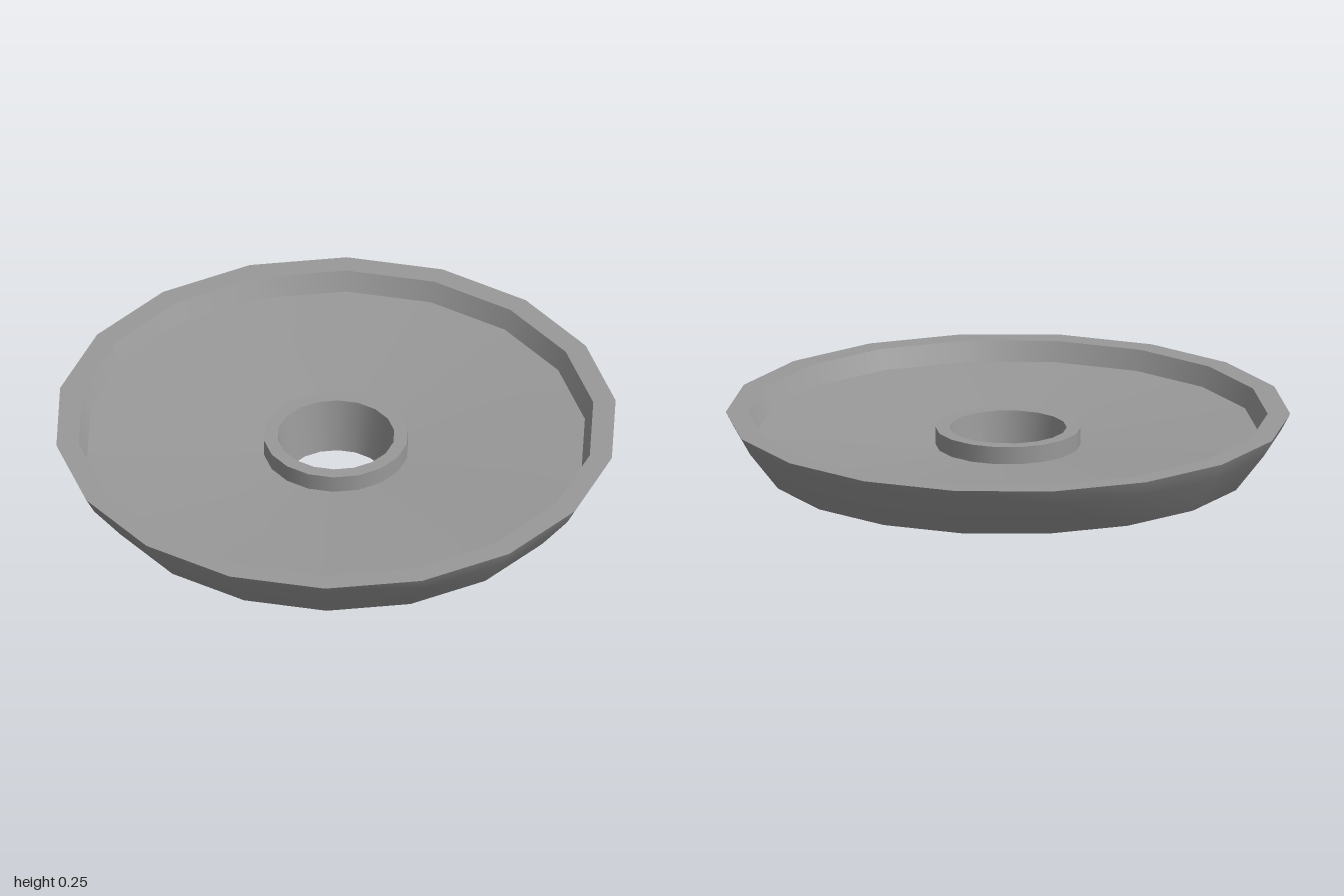
import * as THREE from 'three';

const SIDES = 18;

export function createModel() {
  const group = new THREE.Group();
  group.name = 'dish';
  const material = new THREE.MeshStandardMaterial({ color: 0x999999 });

  // Each band is a smooth ring of surface; separate bands meet at sharp edges.
  function band(name, profile) {
    const points = profile.map(([r, y]) => new THREE.Vector2(r, y));
    // Start at +x so that a corner of the polygon lies on the x axis.
    const geometry = new THREE.LatheGeometry(points, SIDES, Math.PI / 2);
    const mesh = new THREE.Mesh(geometry, material);
    mesh.name = name;
    group.add(mesh);
  }

  // Underside and outer wall
  band('underside', [[0.18, 0], [0.78, 0.052], [0.863, 0.054]]);
  band('outerWall', [[0.863, 0.054], [0.968, 0.19], [1, 0.25]]);

  // Rim and sloping floor
  band('rimTop', [[1, 0.25], [0.92, 0.25]]);
  band('rimInnerWall', [[0.92, 0.25], [0.89, 0.18]]);
  band('floor', [[0.89, 0.18], [0.257, 0.135]]);

  // Raised collar around the tapered centre hole
  band('collarWall', [[0.257, 0.135], [0.257, 0.198]]);
  band('collarTop', [[0.257, 0.198], [0.208, 0.198]]);
  band('holeWall', [[0.208, 0.198], [0.18, 0]]);

  return group;
}
